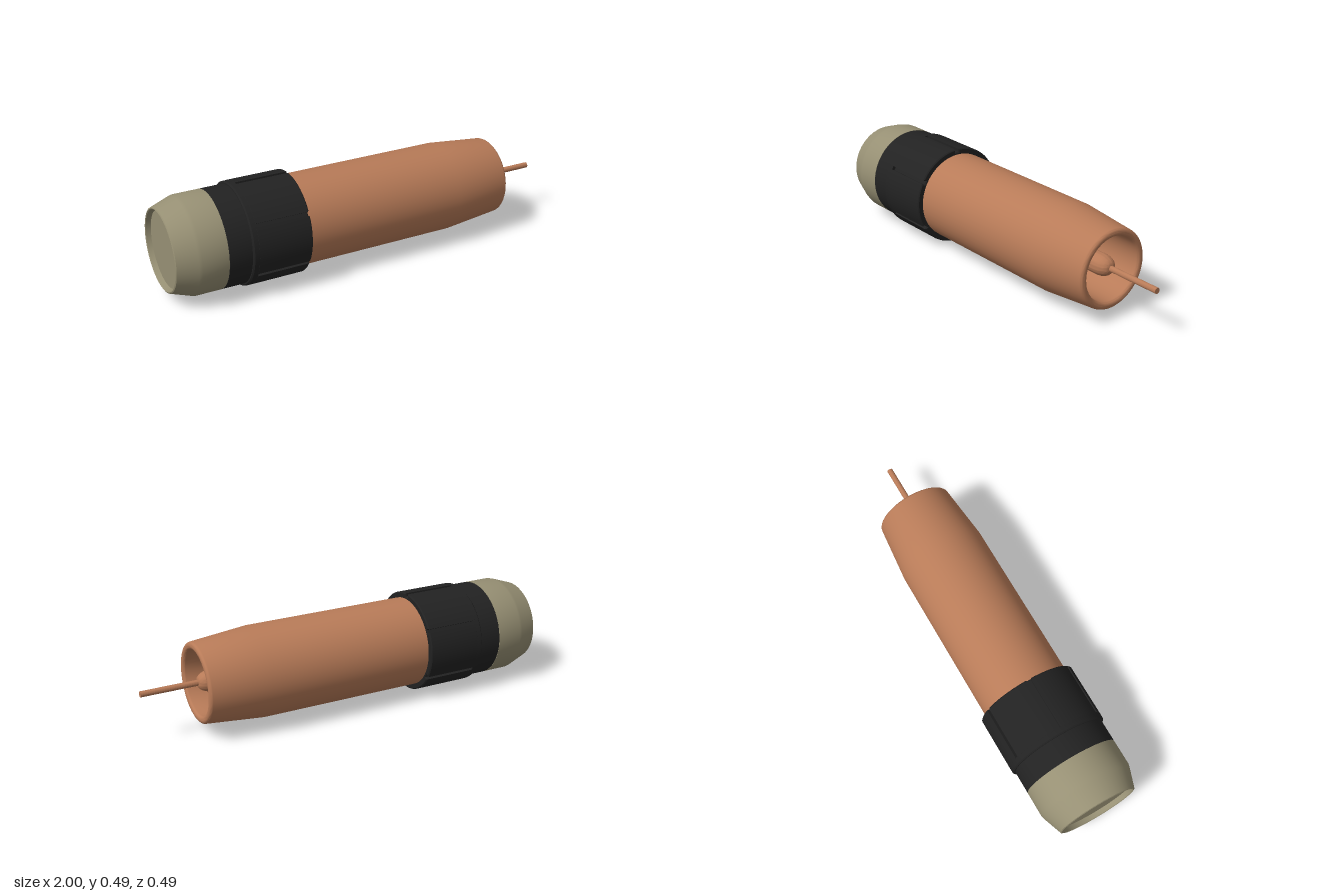
import * as THREE from 'three';
import { toCreasedNormals } from 'three/addons/utils/BufferGeometryUtils.js';

const AXIS_Y = 0.245;
const copper = new THREE.MeshStandardMaterial({ color: 0xb87b58 });
const black = new THREE.MeshStandardMaterial({ color: 0x222222 });
const olive = new THREE.MeshStandardMaterial({ color: 0x979074 });

// Turned part along x: profile points are [x, radius], outside first, towards +x
function turned(name, profile, material, segments = 48, rule = null) {
  const lathe = new THREE.LatheGeometry(profile.map(([x, r]) => new THREE.Vector2(r, x)), segments);
  lathe.rotateZ(-Math.PI / 2);
  if (rule) rule(lathe.attributes.position);
  const mesh = new THREE.Mesh(toCreasedNormals(lathe, 0.55), material);
  mesh.name = name;
  return mesh;
}

// Round outline with six notches, for the grip part of the collar
function notchedOutline(radius, floor, halfWidth) {
  const shape = new THREE.Shape();
  const gap = Math.asin(halfWidth / radius);
  const floorGap = Math.asin(halfWidth / floor);
  const at = (r, a) => [r * Math.cos(a), r * Math.sin(a)];
  for (let i = 0; i < 6; i++) {
    const a = Math.PI / 6 + i * Math.PI / 3;
    if (i === 0) shape.moveTo(...at(radius, a - gap));
    else shape.lineTo(...at(radius, a - gap));
    shape.lineTo(...at(floor, a - floorGap));
    shape.lineTo(...at(floor, a + floorGap));
    for (let k = 0; k <= 10; k++) {
      const t = a + gap + (Math.PI / 3 - 2 * gap) * k / 10;
      if (k < 10 || i < 5) shape.lineTo(...at(radius, t));
    }
  }
  const hole = new THREE.Path();
  hole.absarc(0, 0, 0.2, 0, Math.PI * 2, true);
  shape.holes.push(hole);
  return shape;
}

export function createModel() {
  const group = new THREE.Group();
  const body = new THREE.Group();
  body.name = 'torchHead';
  body.position.y = AXIS_Y;
  group.add(body);

  // Hollow nozzle with a rounded lip
  const lip = [];
  for (let k = 0; k <= 8; k++) {
    const a = Math.PI * k / 8;
    lip.push([0.728 + 0.014 * Math.sin(a), 0.172 + 0.018 * Math.cos(a)]);
  }
  body.add(turned('nozzle', [
    [-0.7, 0.217], [0.45, 0.217], ...lip, [0.66, 0.153], [0.2, 0.153], [0.2, 0],
  ], copper));

  // Gas diffuser inside the nozzle
  body.add(turned('diffuser', [
    [0.2, 0.151], [0.3, 0.151], [0.38, 0.121], [0.42, 0.121], [0.42, 0],
  ], copper));

  // Contact tip, with two flats cut on its base
  body.add(turned('contactTip', [
    [0.42, 0.089], [0.5, 0.089], [0.56, 0.05], [0.67, 0.05], [0.69, 0.047],
    [0.71, 0.039], [0.723, 0.028], [0.728, 0.018], [0.728, 0],
  ], copper, 48, (pos) => {
    for (let i = 0; i < pos.count; i++) pos.setZ(i, THREE.MathUtils.clamp(pos.getZ(i), -0.07, 0.07));
  }));

  // Wire
  body.add(turned('wire', [[0.6, 0], [0.6, 0.014], [1, 0.014], [1, 0]], copper, 20));

  // Collar: plain sleeve, raised shoulder and notched grip
  body.add(turned('collarSleeve', [
    [-0.768, 0.15], [-0.768, 0.228], [-0.764, 0.232], [-0.64, 0.232], [-0.64, 0.15],
  ], black));
  body.add(turned('collarShoulder', [
    [-0.656, 0.2], [-0.656, 0.238], [-0.65, 0.244], [-0.625, 0.244], [-0.625, 0.2],
  ], black, 60));
  const grip = new THREE.ExtrudeGeometry(notchedOutline(0.2445, 0.228, 0.009), {
    depth: 0.257, bevelEnabled: true, bevelSize: 0.005, bevelThickness: 0.005,
    bevelOffset: -0.005, bevelSegments: 1, curveSegments: 32,
  });
  grip.rotateY(Math.PI / 2);
  const gripMesh = new THREE.Mesh(toCreasedNormals(grip, 0.55), black);
  gripMesh.name = 'collarGrip';
  gripMesh.position.x = -0.627;
  body.add(gripMesh);

  // Tapered rear cap with a shallow recess
  body.add(turned('rearCap', [
    [-0.975, 0], [-0.975, 0.18], [-0.997, 0.186], [-1, 0.19], [-0.997, 0.196],
    [-0.905, 0.228], [-0.89, 0.232], [-0.766, 0.232], [-0.766, 0],
  ], olive));

  return group;
}
